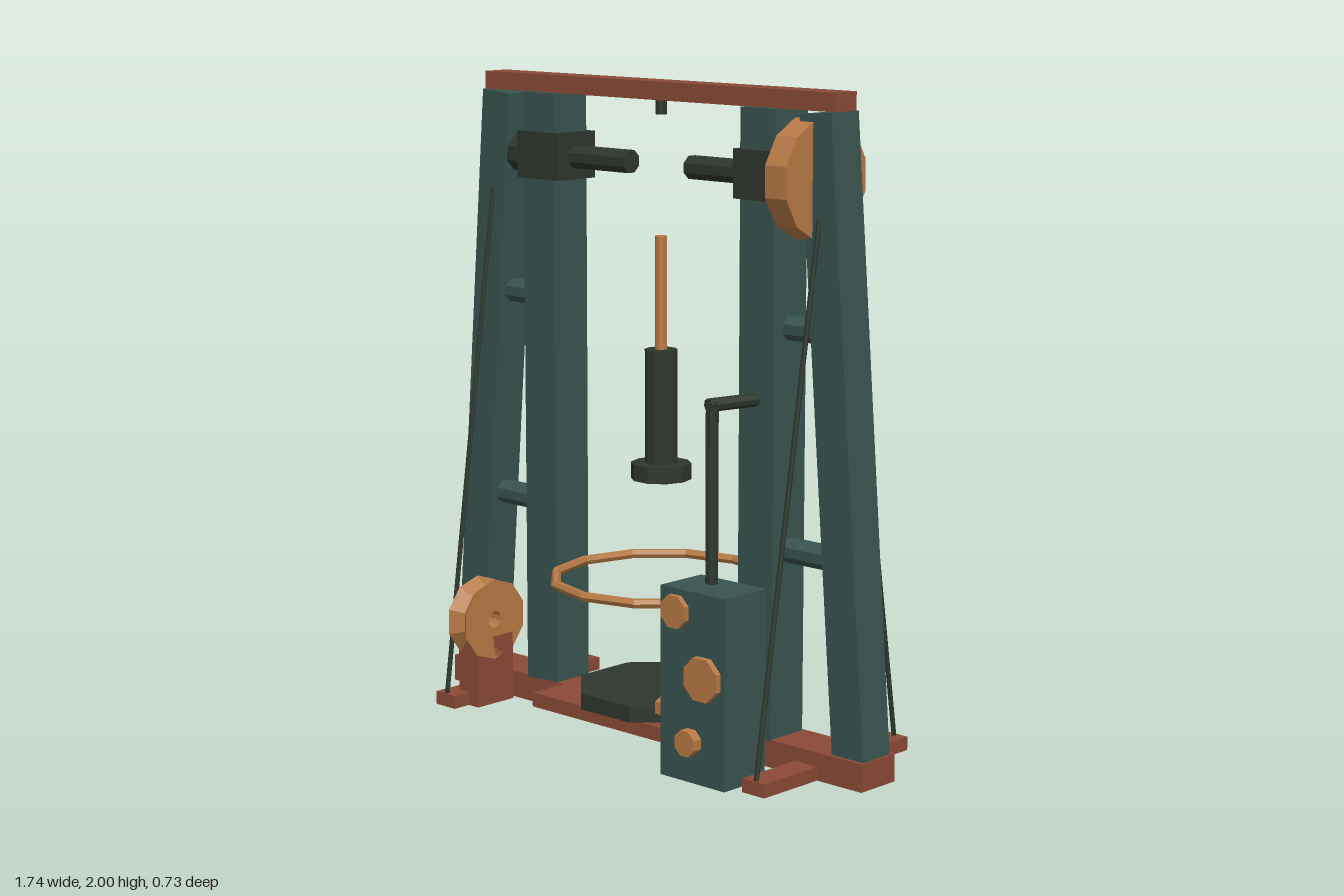
import * as THREE from 'three';

const mat = (name, color) => {
  const m = new THREE.MeshStandardMaterial({ color });
  m.name = name;
  return m;
};

export function createModel() {
  const root = new THREE.Group();
  root.name = 'workshopPress';
  const brick = mat('brickRed', 0x8b4a36);
  const teal = mat('darkTeal', 0x38544f);
  const iron = mat('blackIron', 0x2f362f);
  const bronze = mat('bronze', 0xb87a45);
  const C = -0.015; // depth of the frame's middle plane

  const add = (name, geometry, material) => {
    geometry = geometry.index ? geometry.toNonIndexed() : geometry;
    geometry.computeVertexNormals(); // faceted low-poly look
    const mesh = new THREE.Mesh(geometry, material);
    mesh.name = name;
    root.add(mesh);
    return mesh;
  };
  // Box given by its extents on each axis
  const box = (name, [x0, x1], [y0, y1], [z0, z1], material) => {
    const a = Math.min(x0, x1), b = Math.max(x0, x1);
    const g = new THREE.BoxGeometry(b - a, y1 - y0, z1 - z0);
    g.translate((a + b) / 2, (y0 + y1) / 2, (z0 + z1) / 2);
    if (!Array.isArray(material)) return add(name, g, material);
    const mesh = new THREE.Mesh(g, material);
    mesh.name = name;
    root.add(mesh);
    return mesh;
  };
  // Prism between two points
  const bar = (name, from, to, r, material, sides = 8, rEnd = r, twist = Math.PI / sides) => {
    const a = new THREE.Vector3(...from), b = new THREE.Vector3(...to);
    const d = b.clone().sub(a);
    const g = new THREE.CylinderGeometry(rEnd, r, d.length(), sides).rotateY(twist);
    g.applyQuaternion(new THREE.Quaternion().setFromUnitVectors(new THREE.Vector3(0, 1, 0), d.normalize()));
    g.translate(...a.add(b).multiplyScalar(0.5).toArray());
    return add(name, g, material);
  };
  // Timber with a teal underside
  const timber = [brick, brick, brick, teal, brick, brick];

  // Base and top beam
  box('baseBeam', [-0.868, 0.868], [0, 0.085], [C - 0.077, C + 0.073], timber);
  box('bedPlate', [-0.345, 0.345], [0.045, 0.09], [-0.24, 0.205], timber);
  box('topBeam', [-0.72, 0.72], [1.945, 2], [C - 0.045, C + 0.045], brick);

  // Mirrored frame sides
  for (const s of [-1, 1]) {
    box('column', [s * 0.385, s * 0.52], [0.08, 1.946], [C - 0.067, C + 0.073], teal);

    const foot = new THREE.Vector2(s * 0.809, 0.01), head = new THREE.Vector2(s * 0.657, 1.94);
    const lean = head.clone().sub(foot);
    const leg = new THREE.BoxGeometry(0.118, lean.length(), 0.12);
    leg.rotateZ(Math.atan2(-lean.x, lean.y));
    leg.translate((foot.x + head.x) / 2, (foot.y + head.y) / 2, C);
    add('slantedLeg', leg, teal);

    for (const [y, x] of [[0.65, 0.74], [1.31, 0.69]])
      bar('rung', [s * 0.5, y, C], [s * x, y, C], 0.038, teal, 8);

    box('crossFoot', [s * 0.615, s * 0.7], [0, 0.042], [-0.36, 0.29], timber);
    bar('stayRod', [s * 0.675, 1.64, C + 0.06], [s * 0.66, 0.04, 0.28], 0.008, iron, 6);
    bar('stayRod', [s * 0.675, 1.64, C - 0.06], [s * 0.66, 0.04, -0.345], 0.008, iron, 6);

    box('bearingBlock', [s * 0.362, s * 0.543], [1.68, 1.825], [C - 0.082, C + 0.078], iron);
    bar('spindleArm', [s * 0.125, 1.75, C], [s * 0.4, 1.75, C], 0.037, iron, 8);
  }

  // Left and right shaft ends
  bar('rightShaft', [-0.54, 1.75, C], [-0.68, 1.75, C], 0.032, iron, 8);
  bar('rightShaftCollar', [-0.57, 1.75, C], [-0.628, 1.75, C], 0.06, iron, 8);
  bar('leftShaft', [0.54, 1.75, C], [0.6, 1.75, C], 0.036, iron, 8);
  bar('driveWheel', [0.57, 1.75, C], [0.65, 1.75, C], 0.179, bronze, 12);

  // Central plunger, turntable and hoop
  bar('plungerFlange', [0, 0.79, C], [0, 0.84, C], 0.093, iron, 10);
  bar('plungerBody', [0, 0.84, C], [0, 1.19, C], 0.05, iron, 10);
  bar('plungerRod', [0, 1.19, C], [0, 1.535, C], 0.019, bronze, 8);
  bar('beamStud', [0, 1.9, C], [0, 1.95, C], 0.018, iron, 8);
  bar('turntable', [0, 0.09, -0.02], [0, 0.14, -0.02], 0.272, iron, 8);
  const hoop = new THREE.TorusGeometry(0.335, 0.015, 6, 12).rotateX(Math.PI / 2);
  add('hoop', hoop.translate(0, 0.478, -0.017), bronze);

  // Control cabinet with front dials
  box('controlCabinet', [0.325, 0.58], [0, 0.572], [0.153, 0.328], teal);
  for (const [x, y, r, z] of [[0.39, 0.505, 0.052, 0.345], [0.5, 0.322, 0.069, 0.348], [0.45, 0.125, 0.041, 0.36]])
    bar('dial', [x, y, 0.32], [x, y, z], r, bronze, 8);

  // Cabinet side fittings
  bar('nozzlePipe', [0.33, 0.298, 0.24], [0.28, 0.298, 0.24], 0.012, bronze, 6);
  bar('nozzleCone', [0.28, 0.305, 0.24], [0.28, 0.385, 0.24], 0.024, bronze, 6, 0.002);
  bar('valvePipe', [0.33, 0.175, 0.24], [0.29, 0.175, 0.24], 0.014, bronze, 6);
  bar('valveKnob', [0.305, 0.175, 0.24], [0.25, 0.175, 0.24], 0.036, bronze, 6);

  // Bent lever on the cabinet
  bar('leverPost', [0.422, 0.56, 0.213], [0.422, 1.11, 0.213], 0.02, iron, 8);
  bar('leverHandle', [0.419, 1.1, 0.228], [0.455, 1.1, 0.06], 0.02, iron, 8);

  // Grooved grinding wheel on its block
  const profile = [[0.027, -0.04], [0.13, -0.04], [0.097, 0], [0.13, 0.04], [0.027, 0.04], [0.027, -0.04]];
  const wheel = new THREE.LatheGeometry(profile.map(p => new THREE.Vector2(...p)), 10);
  wheel.rotateY(Math.PI / 10).rotateZ(Math.PI / 2);
  add('groovedWheel', wheel.translate(-0.612, 0.275, 0.152), bronze);
  box('wheelBlock', [-0.66, -0.572], [0, 0.22], [0.075, 0.228], brick);

  return root;
}
